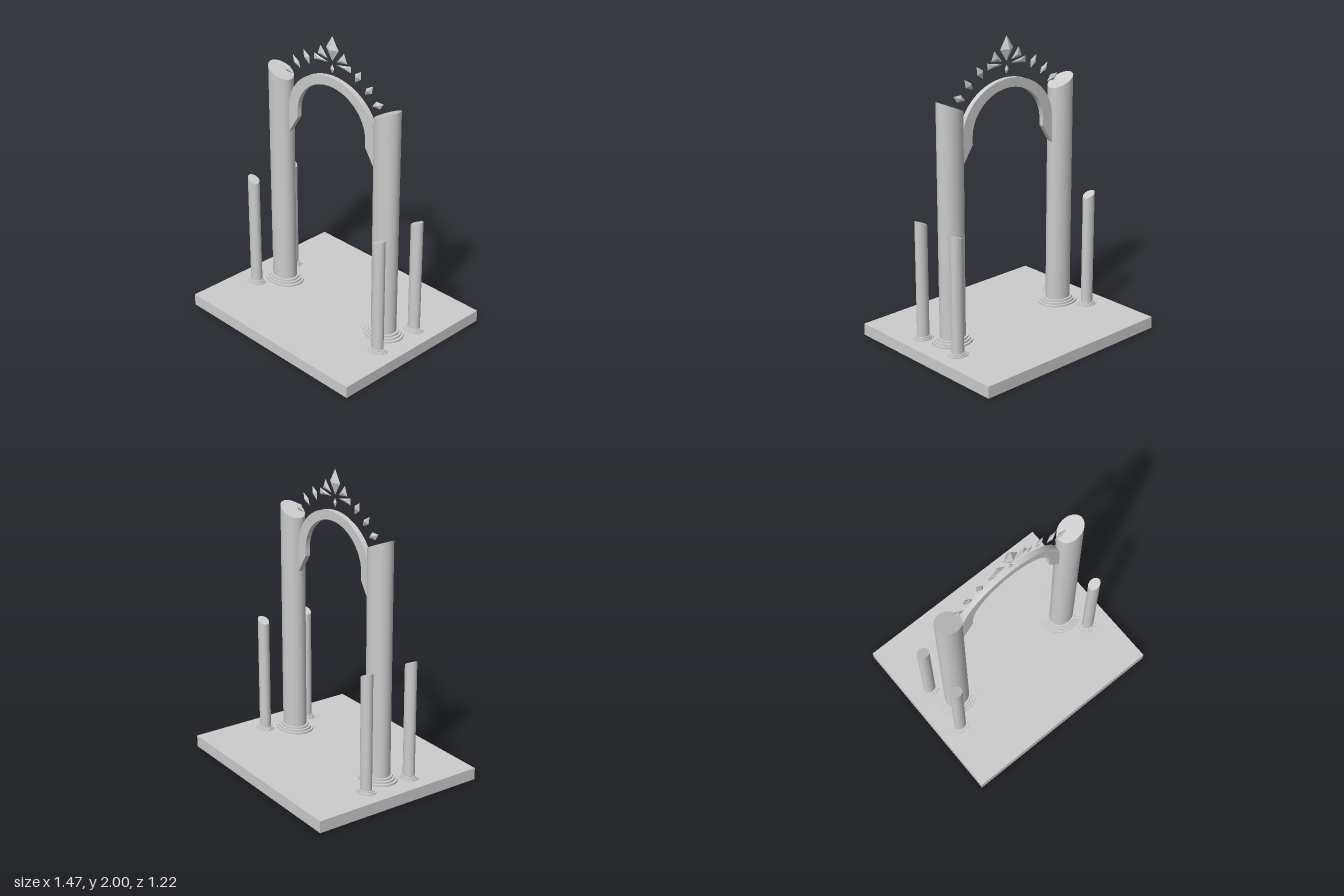
import * as THREE from 'three';
import { ConvexGeometry } from 'three/addons/geometries/ConvexGeometry.js';

const SQUASH = 0.83; // columns are slightly flattened in z
const ARCH_Z = 0.018;
const FLOOR = 0.08;

const mat = new THREE.MeshStandardMaterial({ color: 0xcccccc });
const thinMat = new THREE.MeshStandardMaterial({ color: 0xcccccc, side: THREE.DoubleSide });

function add(parent, name, geometry, material = mat) {
  const mesh = new THREE.Mesh(geometry, material);
  mesh.name = name;
  parent.add(mesh);
  return mesh;
}

// Round shaft whose top is cut on a slant, higher on the outer side
function shaftGeometry(radius, low, high, side) {
  const mid = (low + high) / 2, slope = side * (high - low) / (2 * radius);
  const h = mid - FLOOR;
  const geo = new THREE.CylinderGeometry(radius, radius, h, 40);
  geo.translate(0, FLOOR + h / 2, 0);
  const p = geo.attributes.position, n = geo.attributes.normal;
  const cut = new THREE.Vector3(-slope, 1, 0).normalize();
  for (let i = 0; i < p.count; i++) {
    if (p.getY(i) > mid - 0.001) {
      p.setY(i, mid + slope * p.getX(i));
      if (n.getY(i) > 0.9) n.setXYZ(i, cut.x, cut.y, cut.z);
    }
  }
  geo.scale(1, 1, SQUASH);
  return geo;
}

// Shaft standing on three stepped discs
function column(name, x, z, radius, low, high, side, baseRadius, baseHeight) {
  const group = new THREE.Group();
  group.name = name;
  add(group, 'shaft', shaftGeometry(radius, low, high, side));
  const step = baseHeight / 3;
  for (let i = 0; i < 3; i++) {
    const r = THREE.MathUtils.lerp(baseRadius, radius, i / 3);
    const disc = new THREE.CylinderGeometry(r, r, step, 40);
    disc.translate(0, FLOOR + step * (i + 0.5), 0);
    disc.scale(1, 1, SQUASH);
    add(group, 'baseStep', disc);
  }
  group.position.set(x, 0, z);
  return group;
}

function extrudeFlat(shape) {
  const depth = 0.034;
  const geo = new THREE.ExtrudeGeometry(shape, { depth, bevelEnabled: false, curveSegments: 32 });
  return geo.translate(0, 0, ARCH_Z - depth / 2);
}

// Faceted crystal: outline corners in the arch plane plus a ridge point front and back
function crystal(corners, halfDepth, mirror = 1, shift = 0) {
  const pts = corners.map(([x, y]) => new THREE.Vector3(mirror * x + shift, y, 0));
  const centre = new THREE.Vector3();
  pts.forEach((p) => centre.addScaledVector(p, 1 / pts.length));
  for (const s of [-1, 1]) pts.push(centre.clone().setZ(s * halfDepth));
  return new ConvexGeometry(pts).translate(0, 0, 0.02);
}

export function createModel() {
  const model = new THREE.Group();
  model.name = 'crystalArchway';

  // Platform: top and four walls, open underneath
  const platform = new THREE.BoxGeometry(1.466, FLOOR, 1.22).translate(0, FLOOR / 2, 0);
  const index = Array.from(platform.index.array);
  index.splice(18, 6); // drop the bottom face
  platform.setIndex(index);
  platform.clearGroups();
  add(model, 'platform', platform, thinMat);

  // Tall columns with a pair of short ones beside each
  for (const side of [-1, 1]) {
    model.add(column('tallColumn', side * 0.473, 0.018, 0.09, 1.595, 1.675, side, 0.143, 0.036));
    for (const z of [-0.155, 0.185]) {
      model.add(column('shortColumn', side * 0.58, z, 0.043, 0.848, 0.884, side, 0.073, 0.018));
    }
  }

  // Half-ring arch
  const spring = 1.405;
  const arch = new THREE.Shape();
  arch.moveTo(0.385, spring);
  arch.absellipse(0, spring, 0.385, 0.325, 0, Math.PI, false);
  arch.lineTo(-0.303, spring);
  arch.absellipse(0, spring, 0.303, 0.265, Math.PI, 0, true);
  arch.closePath();
  add(model, 'arch', extrudeFlat(arch));

  // Tapered brackets under the arch ends
  for (const side of [-1, 1]) {
    const bracket = new THREE.Shape(
      [[0.385, spring], [0.303, spring], [0.303, 1.36], [0.385, 1.235]]
        .map(([x, y]) => new THREE.Vector2(side * x, y)));
    add(model, 'bracket', extrudeFlat(bracket));
  }

  // Centre crystals
  add(model, 'crownCrystal', crystal([[0, 2], [0.055, 1.915], [0, 1.835], [-0.055, 1.915]], 0.03));
  add(model, 'dropCrystal', crystal([[0, 1.815], [0.018, 1.785], [0, 1.755], [-0.018, 1.785]], 0.012));

  // Crystals fanned out over both sides of the arch
  const sideCrystals = [
    [[-0.448, 1.687], [-0.385, 1.687], [-0.353, 1.645], [-0.416, 1.645]],
    [[-0.358, 1.777], [-0.300, 1.745], [-0.289, 1.703], [-0.347, 1.724]],
    [[-0.257, 1.841], [-0.204, 1.809], [-0.206, 1.756], [-0.255, 1.788]],
  ];
  const shards = [
    [[-0.103, 1.915], [-0.077, 1.862], [-0.040, 1.841], [-0.130, 1.852]],
    [[-0.164, 1.847], [-0.088, 1.831], [-0.034, 1.820], [-0.160, 1.804]],
  ];
  for (const mirror of [1, -1]) {
    const shift = mirror < 0 ? -0.008 : 0;
    sideCrystals.forEach((c) => add(model, 'sideCrystal', crystal(c, 0.014, mirror, shift)));
    shards.forEach((c) => add(model, 'shard', crystal(c, 0.01, mirror)));
  }
  return model;
}
